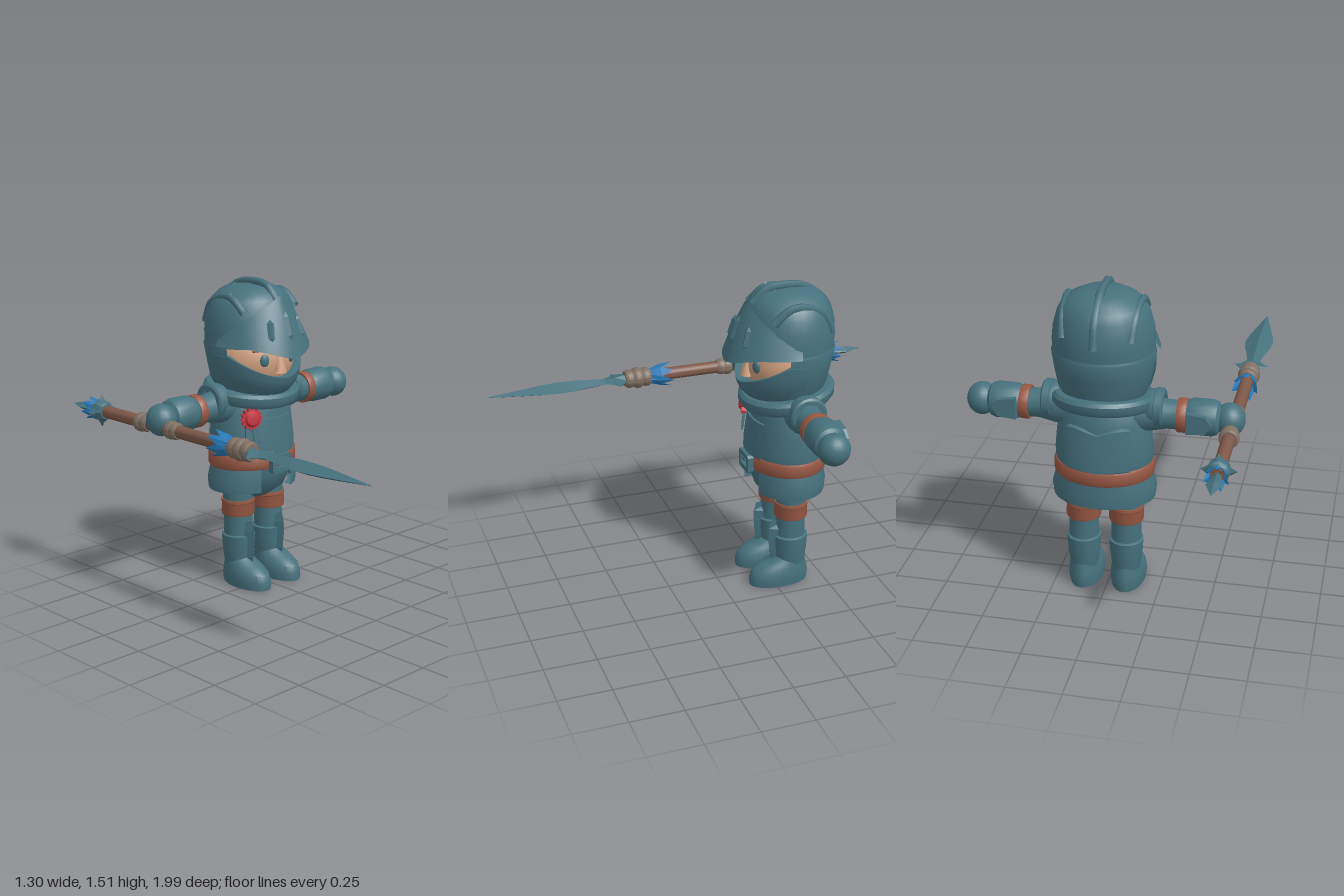
import * as THREE from 'three';
import { toCreasedNormals } from 'three/addons/utils/BufferGeometryUtils.js';

const mat = (name, color) => new THREE.MeshStandardMaterial({ name, color, side: THREE.DoubleSide });
const PI = Math.PI, CZ = -0.343; // CZ: depth of the body axis

export function createModel() {
  const steel = mat('blue steel', 0x46717d), leather = mat('leather', 0x985844), wood = mat('spear wood', 0x7d5848);
  const skin = mat('skin', 0xd0a080), red = mat('rosette red', 0xc2333f), blue = mat('feather blue', 0x2679b8);
  const wrapMat = mat('wrapping', 0x7f7064);
  const model = new THREE.Group(); model.name = 'spearKnight';
  const knight = new THREE.Group(); knight.name = 'knight'; knight.position.x = 0.012;
  const spear = new THREE.Group(); spear.name = 'spear'; spear.position.set(-0.57, 0.88, 0);
  model.add(knight, spear);

  function add(parent, name, geo, material, x = 0, y = 0, z = 0) {
    const m = new THREE.Mesh(geo, material);
    m.name = name; m.position.set(x, y, z); parent.add(m);
    return m;
  }
  // Grid surface: f(u, v) gives a point, u runs around and v upwards
  function surface(f, nu, nv, crease = 0.7) {
    const pos = [], idx = [];
    for (let j = 0; j <= nv; j++) for (let i = 0; i <= nu; i++) pos.push(...f(i / nu, j / nv, j));
    for (let j = 0; j < nv; j++) for (let i = 0; i < nu; i++) {
      const a = j * (nu + 1) + i, b = a + nu + 1;
      idx.push(a, a + 1, b + 1, a, b + 1, b);
    }
    const g = new THREE.BufferGeometry();
    g.setAttribute('position', new THREE.Float32BufferAttribute(pos, 3));
    g.setIndex(idx);
    return toCreasedNormals(g, crease);
  }
  // Elliptical rows [y, halfWidth, halfDepth, depthOffset]; angle 0 faces the front
  const shell = (rows, a0 = -PI, a1 = PI, n = 32, bend = () => 0, crease = 0.7) =>
    surface((u, v, j) => {
      const [y, w, d, c = 0] = rows[j], a = a0 + (a1 - a0) * u;
      return [w * Math.sin(a), y + bend(a, v), c + d * Math.cos(a)];
    }, n, rows.length - 1, crease);
  const lathe = (pts, n = 20) =>
    toCreasedNormals(new THREE.LatheGeometry(pts.map(p => new THREE.Vector2(p[0], p[1])), n), 0.6);
  const poly = pts => new THREE.Shape(pts.map(p => new THREE.Vector2(p[0], p[1])));
  const plate = (shape, depth) => new THREE.ExtrudeGeometry(shape, { depth, bevelEnabled: false });

  // Torso, skirt and belt
  add(knight, 'torso', shell([[0.44, 0, 0], [0.44, 0.09, 0.08], [0.49, 0.165, 0.145], [0.56, 0.2, 0.17], [0.66, 0.222, 0.184],
    [0.72, 0.225, 0.182], [0.8, 0.218, 0.172], [0.88, 0.208, 0.163], [0.95, 0.185, 0.15], [1.02, 0.13, 0.11], [1.02, 0, 0]]),
  steel, 0, 0, CZ);
  add(knight, 'skirt', shell([[0.5, 0.19, 0.155], [0.49, 0.236, 0.185], [0.54, 0.242, 0.188], [0.63, 0.215, 0.176]],
    0.42, 2 * PI - 0.42), steel, 0, 0, CZ);
  add(knight, 'belt', shell([[0.605, 0.2, 0.16], [0.605, 0.226, 0.187], [0.615, 0.231, 0.193], [0.665, 0.231, 0.193],
    [0.675, 0.226, 0.187], [0.675, 0.2, 0.16]]), leather, 0, 0, CZ);
  const frame = poly([[-0.062, -0.035], [-0.05, -0.045], [0.05, -0.045], [0.062, -0.035], [0.062, 0.035], [0.05, 0.045],
    [-0.05, 0.045], [-0.062, 0.035]]);
  frame.holes.push(poly([[-0.038, -0.02], [-0.038, 0.02], [0.038, 0.02], [0.038, -0.02]]));
  add(knight, 'buckle', plate(frame, 0.03), steel, 0, 0.63, -0.16);
  add(knight, 'bucklePin', new THREE.BoxGeometry(0.05, 0.012, 0.015), steel, -0.012, 0.632, -0.142);

  // Raised breastplate and back plate
  const plateRows = [[0.67, 0.222, 0.184], [0.675, 0.234, 0.196], [0.72, 0.237, 0.193], [0.8, 0.23, 0.183], [0.85, 0.224, 0.176],
    [0.853, 0.205, 0.16]];
  add(knight, 'breastplate', shell(plateRows, -0.5, 0.5, 12), steel, 0, 0, CZ);
  add(knight, 'backPlate', shell(plateRows, PI - 0.7, PI + 0.7, 14,
    (a, v) => v * 0.03 * Math.abs(Math.sin((a - PI) * 3))), steel, 0, 0, CZ);
  add(knight, 'chestRidge', shell([[0.68, 0, 0], [0.7, 0.022, 0.02], [0.85, 0.02, 0.02], [0.885, 0, 0]], -PI, PI, 4, undefined, 0.1),
    steel, 0, 0, -0.158).rotation.x = -0.1;

  // Rosette with ribbon tails
  const rosette = new THREE.Group(); rosette.name = 'rosette';
  rosette.position.set(-0.142, 0.865, -0.2); rosette.rotation.set(-0.1, -0.35, 0); knight.add(rosette);
  const star = Array.from({ length: 28 }, (_, i) => {
    const r = i % 2 ? 0.043 : 0.056, a = i / 28 * 2 * PI;
    return [r * Math.cos(a), r * Math.sin(a)];
  });
  add(rosette, 'rosettePetals', plate(poly(star), 0.025), red);
  add(rosette, 'rosetteCentre', lathe([[0.04, 0], [0.03, 0.012], [0, 0.016]], 14).rotateX(PI / 2), red, 0, 0, 0.025);
  for (const s of [-1, 1]) add(rosette, 'ribbonTail',
    plate(poly([[-0.016, 0], [-0.016, -0.115], [0, -0.1], [0.016, -0.12], [0.016, 0]]), 0.009), steel, s * 0.012, -0.01, 0.005 + s * 0.002)
    .rotation.z = s * 0.1;

  // Tilted collar
  add(knight, 'collar', shell([[0.93, 0.17, 0.15], [0.935, 0.222, 0.212], [0.955, 0.236, 0.226], [0.985, 0.236, 0.226],
    [1.0, 0.222, 0.212], [1.0, 0.13, 0.11]], -PI, PI, 36, a => -0.028 * Math.cos(a)), steel, 0, 0, CZ);

  // Arms, built along x and mirrored
  for (const s of [-1, 1]) {
    const arm = new THREE.Group(); arm.name = s > 0 ? 'leftArm' : 'rightArm';
    arm.position.set(0, 0.913, -0.35); knight.add(arm);
    const along = pts => lathe(pts).rotateZ(-s * PI / 2);
    add(arm, 'upperArm', along([[0.09, 0.13], [0.082, 0.22], [0.067, 0.29], [0.067, 0.36]]), steel);
    add(arm, 'shoulderGuard', along([[0.06, 0.2], [0.078, 0.2], [0.084, 0.215], [0.084, 0.235], [0.09, 0.238], [0.09, 0.268], [0.08, 0.276],
      [0.06, 0.276]]), steel, 0, 0.028, 0);
    add(arm, 'armBand', along([[0.06, 0.337], [0.076, 0.337], [0.079, 0.345], [0.079, 0.373], [0.076, 0.38], [0.06, 0.38]]), leather);
    add(arm, 'forearm', along([[0.06, 0.38], [0.073, 0.38], [0.083, 0.405], [0.084, 0.49], [0.076, 0.515], [0.055, 0.53], [0, 0.53]]), steel);
    add(arm, 'elbowPlate', plate(poly([[0.385, -0.05], [0.39, 0.05], [0.47, 0.04], [0.5, 0], [0.47, -0.04]].map(p => [p[0] * s, p[1]])), 0.03),
      steel, 0, 0, -0.097);
    add(arm, 'hand', new THREE.SphereGeometry(1, 20, 14).scale(0.07, 0.076, 0.076), steel, s * 0.568, -0.004, 0.006);
  }

  // Legs and boots
  for (const s of [-1, 1]) {
    const leg = new THREE.Group(); leg.name = s > 0 ? 'leftLeg' : 'rightLeg';
    leg.position.set(s * 0.101, 0, -0.338); knight.add(leg);
    add(leg, 'thigh', lathe([[0.07, 0.35], [0.075, 0.43], [0.075, 0.57]]), steel);
    add(leg, 'kneeBand', lathe([[0.06, 0.355], [0.079, 0.355], [0.082, 0.365], [0.08, 0.415], [0.083, 0.42], [0.082, 0.435], [0.06, 0.435]]), leather);
    add(leg, 'shin', shell([[0.08, 0.06, 0.07], [0.12, 0.068, 0.076], [0.2, 0.078, 0.083], [0.25, 0.08, 0.085], [0.255, 0.07, 0.072],
      [0.37, 0.07, 0.07]], -PI, PI, 20), steel);
    add(leg, 'greave', shell([[0.08, 0.03, 0.085], [0.14, 0.05, 0.105], [0.24, 0.06, 0.113], [0.29, 0.052, 0.113], [0.335, 0, 0.1]],
      -PI / 2, PI / 2, 2, undefined, 0.1), steel);
    add(leg, 'boot', shell([[0, 0, 0, 0.05], [0, 0.078, 0.147, 0.06], [0.035, 0.083, 0.15, 0.058], [0.075, 0.08, 0.14, 0.053],
      [0.105, 0.07, 0.112, 0.033], [0.125, 0.064, 0.085, 0.01], [0.15, 0.058, 0.068]], -PI, PI, 24), steel);
  }

  // Face
  add(knight, 'face', new THREE.SphereGeometry(1, 32, 20).scale(0.207, 0.19, 0.192), skin, 0, 1.13, -0.333);
  add(knight, 'nose', shell([[1.065, 0, 0], [1.075, 0.036, 0.035], [1.1, 0.028, 0.03], [1.17, 0.012, 0.008]], -PI, PI, 10),
    skin, 0, 0, -0.146);
  for (const s of [-1, 1]) {
    add(knight, 'eye', new THREE.SphereGeometry(1, 14, 10).scale(0.023, 0.03, 0.012), steel, s * 0.087, 1.142, -0.157).rotation.y = s * 0.4;
    const brow = new THREE.CatmullRomCurve3([[0.03, 1.172, -0.144], [0.075, 1.19, -0.155], [0.135, 1.188, -0.189]]
      .map(p => new THREE.Vector3(s * p[0], p[1], p[2])));
    add(knight, 'eyebrow', new THREE.TubeGeometry(brow, 10, 0.006, 6), leather);
  }

  // Helmet: dome, back, chin guard and raised visor
  add(knight, 'helmetDome', shell([[1.2, 0.23, 0.215], [1.26, 0.23, 0.22], [1.32, 0.224, 0.214], [1.38, 0.208, 0.198], [1.42, 0.188, 0.182],
    [1.45, 0.155, 0.155], [1.475, 0.1, 0.11], [1.485, 0, 0]]), steel, 0, 0, CZ);
  add(knight, 'helmetBack', shell([[0.97, 0.17, 0.165], [1.04, 0.208, 0.187], [1.12, 0.223, 0.204], [1.2, 0.234, 0.222], [1.215, 0.23, 0.216]],
    1.25, 2 * PI - 1.25), steel, 0, 0, CZ);
  add(knight, 'chinGuard', shell([[0.935, 0.14, 0.15], [0.965, 0.18, 0.19], [1.0, 0.215, 0.225], [1.03, 0.23, 0.24], [1.055, 0.234, 0.246],
    [1.055, 0.205, 0.2]], -1.6, 1.6, 28, (a, v) => Math.min(1, v * 1.25) * 0.11 * Math.min(1, Math.abs(a) / 1.25) ** 1.5), steel, 0, 0, CZ);
  const visorPoint = (u, v) => {
    const t = 2 * u - 1, k = Math.abs(t), a = t * 1.5;
    const low = 1.155 + 0.055 * Math.min(1, k * 1.8), high = 1.445 - 0.2 * k;
    const d = 0.31 - 0.085 * v - 0.025 * v * v, w = 0.248 - 0.02 * v;
    return [w * Math.sin(a), low + (high - low) * v, d * Math.cos(a)];
  };
  add(knight, 'visor', surface(visorPoint, 28, 6), steel, 0, 0, CZ);
  for (const s of [-1, 0, 1]) {
    const [x, y, z] = visorPoint(0.5 + s * 0.135, 0.52);
    add(knight, 'visorSlit', shell([[-0.072, 0, 0], [-0.045, 0.018, 0.012], [0.045, 0.018, 0.012], [0.072, 0, 0]], -PI, PI, 4, undefined, 0.1)
      .scale(1, s ? 0.8 : 1, 1).rotateX(-0.32).rotateY(s * 0.4), steel, x, y, CZ + z);
    // Crest ridges running front to back, each with a raised point
    const pts = s ? [[0.165, 1.37, -0.21], [0.168, 1.43, -0.29], [0.162, 1.43, -0.37], [0.158, 1.39, -0.45], [0.15, 1.3, -0.5]]
      : [[0, 1.42, -0.165], [0, 1.48, -0.23], [0, 1.493, -0.34], [0, 1.475, -0.43], [0, 1.4, -0.525], [0, 1.28, -0.565]];
    const path = new THREE.CatmullRomCurve3(pts.map(p => new THREE.Vector3((s || 1) * p[0], p[1], p[2])));
    add(knight, 'crestRidge', new THREE.TubeGeometry(path, 18, 0.02, 6), steel);
    add(knight, 'crestPoint', new THREE.ConeGeometry(0.035, 0.07, 4).scale(1, 1, 1.6), steel, s * 0.163, s ? 1.425 : 1.477, s ? -0.3 : -0.27)
      .rotation.z = -s * 0.25;
  }

  // Spear, built upright then laid along z with its tip forward
  const lay = g => g.rotateX(PI / 2);
  add(spear, 'shaft', lay(lathe([[0, -0.82], [0.03, -0.82], [0.03, 0.2], [0, 0.2]], 14)), wood);
  add(spear, 'blade', lay(shell([[0.27, 0.03, 0.025], [0.335, 0.085, 0.014], [0.345, 0.06, 0.014], [0.39, 0.032, 0.015], [0.46, 0.042, 0.022],
    [0.54, 0.06, 0.028], [0.62, 0.069, 0.03], [0.7, 0.06, 0.026], [0.8, 0.04, 0.018], [0.992, 0, 0]], -PI, PI, 4, undefined, 0.3)), steel);
  const wraps = [[0.155, 0.047], [0.198, 0.052], [0.24, 0.046], [-0.275, 0.043], [-0.245, 0.04], [-0.49, 0.046], [-0.457, 0.041]];
  for (const [z, r] of wraps) add(spear, 'wrapping',
    lay(lathe([[0.025, 0], [r * 0.85, 0], [r, 0.012], [r, 0.032], [r * 0.85, 0.045], [0.02, 0.045]], 14)), wrapMat, 0, 0, z);
  function feathers(z, len, width, tilt) {
    for (let i = 0; i < 7; i++) add(spear, 'feather',
      shell([[0, 0.01, 0.006], [len * 0.5, width, 0.007], [len, 0, 0]], -PI, PI, 4, undefined, 0.1)
        .rotateX(-PI / 2 + tilt).translate(0, 0.028, 0).rotateZ(i / 7 * 2 * PI), blue, 0, 0, z);
  }
  feathers(0.165, 0.125, 0.024, 0.28);
  feathers(-0.795, 0.08, 0.019, 0.35);
  add(spear, 'endCollar', lay(lathe([[0.02, -0.81], [0.038, -0.81], [0.052, -0.795], [0.052, -0.755], [0.038, -0.735], [0.02, -0.735]], 8)), steel);
  for (let i = 0; i < 4; i++) add(spear, 'collarSpike',
    new THREE.ConeGeometry(0.024, 0.04, 4).translate(0, 0.06, 0).rotateZ(i * PI / 2), steel, 0, 0, -0.775);
  add(spear, 'endSpike', lay(shell([[-1, 0, 0], [-0.91, 0.036, 0.02], [-0.8, 0.014, 0.014]], -PI, PI, 4, undefined, 0.1)), steel);
  return model;
}
